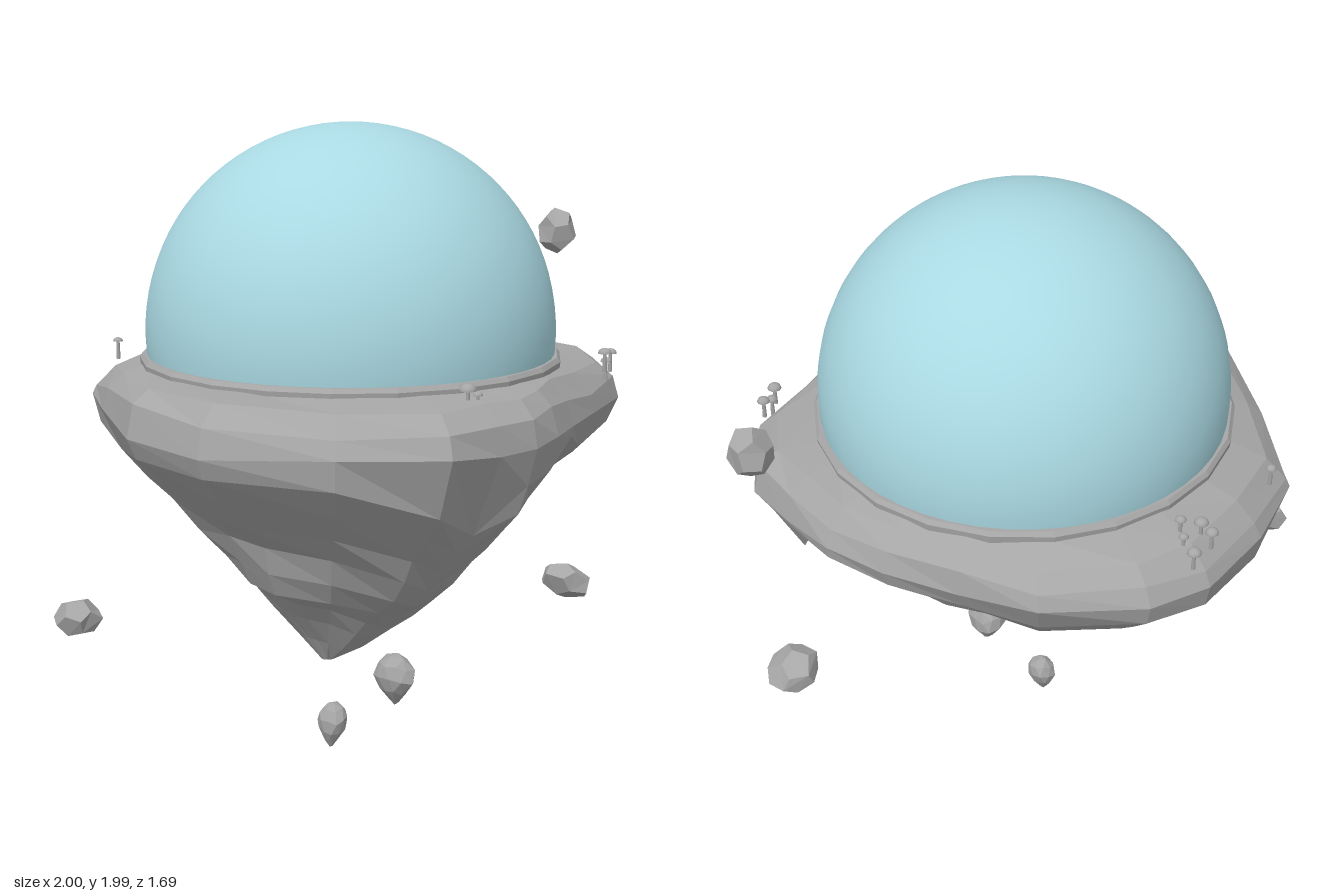
import * as THREE from 'three';

const DOME = new THREE.Vector3(-0.065, 1.355, 0.02);
const TIP = new THREE.Vector3(-0.2, 0.32, 0.05);

// island outline seen from above: x, z and the height of the rim's lower edge
const OUTLINE = [
  [-0.03, -0.85, 1.04], [0.17, -0.81, 1.05], [0.42, -0.61, 1.0], [0.54, -0.4, 1.04],
  [0.66, -0.2, 1.07], [0.72, 0, 1.09], [0.72, 0.2, 1.09], [0.715, 0.38, 1.05],
  [0.58, 0.57, 1.05], [0.35, 0.66, 1.02], [0.15, 0.74, 1.09], [0, 0.81, 1.02],
  [-0.13, 0.84, 1.0], [-0.27, 0.83, 0.86], [-0.47, 0.83, 0.95], [-0.7, 0.61, 1.04],
  [-0.9, 0.27, 1.05], [-0.88, -0.07, 1.05], [-0.7, -0.42, 1.0], [-0.55, -0.67, 1.03],
  [-0.3, -0.79, 1.04],
];

// spread of the underside by height: y, then eight directions,
// +x, +x+z, +z, -x+z, -x, -x-z, -z, +x-z
const SPREAD = [
  [1.1, 1, 1, 1, 1, 1, 1, 1, 1],
  [1.02, 0.93, 0.94, 0.98, 0.98, 0.93, 0.95, 0.98, 0.95],
  [0.9, 0.74, 0.75, 0.91, 0.8, 0.69, 0.78, 0.82, 0.8],
  [0.77, 0.63, 0.6, 0.78, 0.58, 0.48, 0.62, 0.63, 0.65],
  [0.62, 0.42, 0.43, 0.59, 0.52, 0.42, 0.4, 0.46, 0.44],
  [0.54, 0.28, 0.32, 0.47, 0.25, 0.22, 0.28, 0.35, 0.33],
  [0.4, 0.11, 0.14, 0.22, 0.1, 0.08, 0.11, 0.17, 0.14],
  [0.32, 0.03, 0.03, 0.03, 0.03, 0.03, 0.03, 0.03, 0.03],
];

const { lerp, clamp } = THREE.MathUtils;
const wobble = (a, b) => Math.sin(a * 12.9 + b * 7.3) * Math.cos(a * 4.7 - b * 9.1);

function spreadAt(y, dx, dz) {
  let i = 0;
  while (i < SPREAD.length - 2 && SPREAD[i + 1][0] > y) i++;
  const [p, q] = [SPREAD[i], SPREAD[i + 1]];
  const t = clamp((p[0] - y) / (p[0] - q[0]), 0, 1);
  const turn = (Math.atan2(dz, dx) / (Math.PI / 4) + 8) % 8;
  const k = Math.floor(turn);
  const f = (m) => lerp(p[1 + m % 8], q[1 + m % 8], t);
  return lerp(f(k), f(k + 1), turn - k);
}

function facet(geometry) {
  const g = geometry.index ? geometry.toNonIndexed() : geometry;
  g.computeVertexNormals();
  return g;
}

function islandGeometry() {
  // top surface: centre, edge of the collar, then out and down over the rim
  const topRow = (scale, height) => OUTLINE.map(([x, z], j) => {
    const [dx, dz] = [x - DOME.x, z - DOME.z];
    const k = scale(Math.hypot(dx, dz), j);
    return [DOME.x + dx * k, height(z, j), DOME.z + dz * k];
  });
  const backDrop = (z) => (z < -0.55 ? 0.03 : 0);
  const rows = [
    topRow(() => 0, () => 1.265),
    topRow((r) => 0.63 / r, () => 1.265),
    topRow((r, j) => 0.905 + 0.012 * wobble(j, 1), (z, j) => 1.248 - backDrop(z) + 0.012 * wobble(j, 2)),
    topRow((r, j) => 0.975 + 0.012 * wobble(j, 4), (z, j) => 1.195 - backDrop(z) + 0.02 * wobble(j, 5)),
    topRow(() => 1, (z, j) => 1.12 + 0.015 * wobble(j, 3)),
  ];
  // underside, narrowing to the tip
  [1, 0.87, 0.74, 0.62, 0.5, 0.4, 0.31, 0.22, 0.1, 0].forEach((t, i) => {
    rows.push(OUTLINE.map(([x, z, low], j) => {
      const y = lerp(TIP.y, low, t);
      const f = spreadAt(y, x - TIP.x, z - TIP.z) * (1 + (i ? 0.025 * wobble(j, i) : 0));
      return [lerp(TIP.x, x, f), y, lerp(TIP.z, z, f)];
    }));
  });
  rows.push(OUTLINE.map(() => [TIP.x, 0.315, TIP.z]));

  const n = OUTLINE.length, index = [];
  for (let i = 0; i < rows.length - 1; i++) {
    for (let j = 0; j < n; j++) {
      const k = (j + 1) % n;
      const [a, b, c, d] = [i * n + j, i * n + k, (i + 1) * n + j, (i + 1) * n + k];
      if (i > 0) index.push(a, b, c);
      if (i < rows.length - 2) index.push(b, d, c);
    }
  }
  const g = new THREE.BufferGeometry();
  g.setAttribute('position', new THREE.Float32BufferAttribute(rows.flat(2), 3));
  g.setIndex(index);
  return facet(g);
}

// irregular boulder; taper narrows its lower half, lean shifts its top sideways
function boulderGeometry(size, taper, lean, seed) {
  const g = taper ? new THREE.IcosahedronGeometry(1, 1) : new THREE.DodecahedronGeometry(1, 0);
  g.rotateZ(0.5 + seed).rotateX(seed * 0.7);
  const p = g.attributes.position, v = new THREE.Vector3();
  for (let i = 0; i < p.count; i++) {
    v.fromBufferAttribute(p, i);
    const r = v.clone().multiplyScalar(100).round().divideScalar(100);
    const k = 1 + 0.12 * wobble(r.x + seed, r.y * 0.7 + r.z);
    const s = k * (r.y < 0 ? 1 + taper * r.y : 1);
    p.setXYZ(i, (v.x * s + lean * v.y) * size[0], v.y * size[1], v.z * s * size[2]);
  }
  return facet(g);
}

export function createModel() {
  const model = new THREE.Group();
  const rock = new THREE.MeshStandardMaterial({ color: 0xa6a6a6 });
  rock.name = 'grey rock';
  const glass = new THREE.MeshStandardMaterial({ color: 0xaad9e3 });
  glass.name = 'pale blue glass';

  const add = (name, geometry, material, x = 0, y = 0, z = 0, parent = model) => {
    const mesh = new THREE.Mesh(geometry, material);
    mesh.name = name;
    mesh.position.set(x, y, z);
    parent.add(mesh);
    return mesh;
  };

  add('island', islandGeometry(), rock);

  // small hanging spike under the rim
  const spike = add('hangingSpike', facet(new THREE.ConeGeometry(0.1, 0.18, 6)), rock, 0.61, 0.99, 0.285);
  spike.rotation.x = Math.PI;

  // dome and the collar around its foot
  add('dome', new THREE.SphereGeometry(0.635, 48, 24, 0, Math.PI * 2, 0, 1.73), glass, DOME.x, DOME.y, DOME.z);
  const collar = [[0.615, 1.25], [0.652, 1.25], [0.655, 1.275], [0.645, 1.288], [0.615, 1.288]]
    .map(([r, y]) => new THREE.Vector2(r, y));
  add('collar', facet(new THREE.LatheGeometry(collar, 22)), rock, DOME.x, 0, DOME.z);

  // floating boulders: position, half sizes, taper, lean
  [
    [[0.93, 1.58, 0.01], [0.068, 0.08, 0.068], 0, 0],
    [[-0.94, 0.55, -0.25], [0.065, 0.06, 0.072], 0, 0],
    [[0.7, 0.435, 0.28], [0.08, 0.066, 0.092], 0, -0.35],
    [[-0.06, 0.255, 0.215], [0.062, 0.086, 0.072], 0.7, 0],
    [[-0.155, 0.077, 0.025], [0.048, 0.077, 0.052], 0.75, 0.15],
  ].forEach(([pos, size, taper, lean], i) => {
    add('floatingBoulder' + (i + 1), boulderGeometry(size, taper, lean, i), rock, ...pos);
  });

  // tiny mushrooms on the rim: x, cap height, z, cap radius
  const stem = new THREE.CylinderGeometry(0.005, 0.007, 0.06, 6);
  const cap = new THREE.SphereGeometry(1, 10, 4, 0, Math.PI * 2, 0, Math.PI / 2);
  const capBase = new THREE.CircleGeometry(1, 10).rotateX(Math.PI / 2);
  [
    [-0.27, 1.28, 0.7, 0.026], [-0.245, 1.265, 0.715, 0.015],
    [0.48, 1.28, 0.59, 0.022], [0.5, 1.25, 0.58, 0.018], [0.54, 1.27, 0.565, 0.02],
    [-0.09, 1.25, -0.785, 0.02], [-0.085, 1.265, -0.745, 0.022], [0, 1.235, -0.805, 0.022],
    [-0.01, 1.255, -0.75, 0.015], [-0.035, 1.28, -0.71, 0.017], [-0.42, 1.27, -0.7, 0.016],
  ].forEach(([x, y, z, r]) => {
    const mushroom = new THREE.Group();
    mushroom.name = 'mushroom';
    mushroom.position.set(x, y, z);
    add('stem', stem, rock, 0, -0.028, 0, mushroom);
    add('cap', cap, rock, 0, 0, 0, mushroom).scale.set(r, r * 0.8, r);
    add('capUnderside', capBase, rock, 0, 0, 0, mushroom).scale.setScalar(r);
    model.add(mushroom);
  });

  return model;
}
